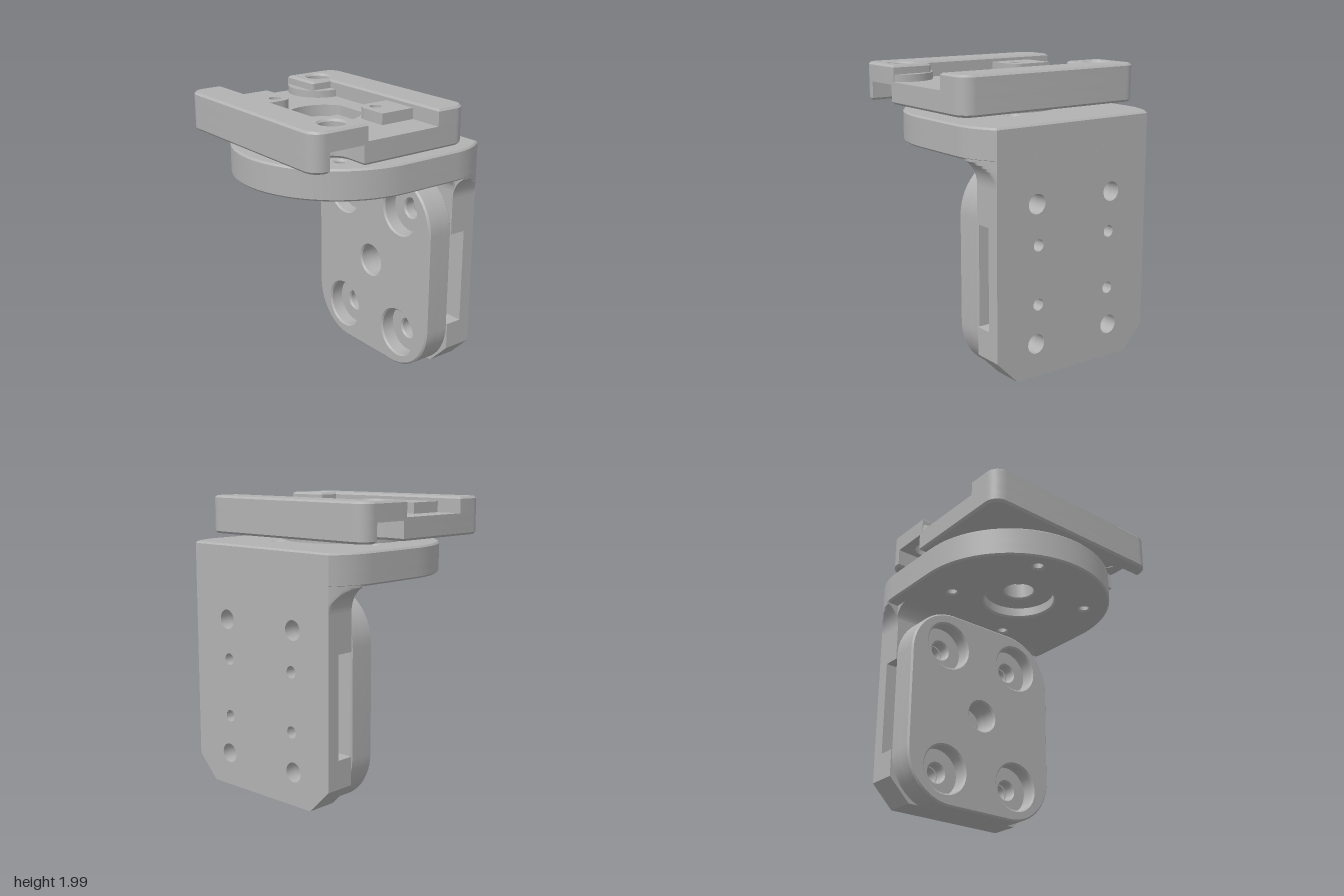
import * as THREE from 'three';
import { toCreasedNormals } from 'three/addons/utils/BufferGeometryUtils.js';

const metal = new THREE.MeshStandardMaterial({ color: 0xb2b2b2 });
metal.name = 'grey metal';

const AXIS = -0.105; // x of the turning axis of the clamp
const PI = Math.PI;
const V = (x, y) => new THREE.Vector2(x, y);

// points along an arc
function arc(cx, cy, r, a0, a1, n = 10) {
  return Array.from({ length: n + 1 }, (_, i) => {
    const a = a0 + (a1 - a0) * i / n;
    return V(cx + r * Math.cos(a), cy + r * Math.sin(a));
  });
}
const circle = (cx, cy, r, n = 40) => arc(cx, cy, r, 0, 2 * PI * (1 - 1 / n), n - 1);
// half turn about the clamp axis
const turn = pts => pts.map(p => V(2 * AXIS - p.x, -p.y));

function extrude(pts, holes, h, b) {
  const shape = new THREE.Shape(pts);
  shape.holes = holes.map(p => new THREE.Path(p));
  return new THREE.ExtrudeGeometry(shape, {
    depth: h - 2 * b, bevelEnabled: b > 0, bevelSize: b, bevelThickness: b,
    bevelOffset: -b, bevelSegments: 1,
  });
}

export function createModel() {
  const model = new THREE.Group();
  const group = name => {
    const g = new THREE.Group();
    g.name = name;
    model.add(g);
    return g;
  };
  const add = (parent, name, geo) => {
    const m = new THREE.Mesh(toCreasedNormals(geo, 0.45), metal);
    m.name = name;
    parent.add(m);
  };
  // plate lying flat: points are (x, z)
  const flat = (parent, name, pts, holes, y0, y1, b = 0) =>
    add(parent, name, extrude(pts, holes, y1 - y0, b).rotateX(PI / 2).translate(0, y1 - b, 0));
  // plate standing upright across x: points are (z, y)
  const upright = (parent, name, pts, holes, x0, x1, b = 0) =>
    add(parent, name, extrude(pts, holes, x1 - x0, b).rotateY(PI / 2).translate(x0 + b, 0, 0));

  // ---- clamp on top ----
  const clamp = group('clamp');
  const bolt = V(-0.47, 0.568);
  const half = [
    ...arc(0.41, 0.62, 0.1, 0, PI / 2), V(-0.34, 0.72),
    ...arc(bolt.x, bolt.y, 0.13, 0, -PI, 18), V(-0.6, 0.72),
    ...arc(-0.62, 0.62, 0.1, PI / 2, PI),
  ];
  const notched = [...half, ...turn(half)];
  const frontEdge = [...arc(0.41, 0.62, 0.1, 0, PI / 2), ...arc(-0.62, 0.62, 0.1, PI / 2, PI)];
  const whole = [...frontEdge, ...turn(frontEdge)];
  const bore = circle(AXIS, 0, 0.105);
  const flatAngle = Math.acos(0.22 / 0.245);
  const pocket = [
    ...arc(AXIS, 0, 0.245, flatAngle, PI - flatAngle, 16),
    ...arc(AXIS, 0, 0.245, PI + flatAngle, 2 * PI - flatAngle, 16),
  ];
  const boltHole = circle(bolt.x, bolt.y, 0.083);
  flat(clamp, 'clampBase', notched, [bore], 1.74, 1.81, 0.015);
  flat(clamp, 'clampPocketLayer', notched, [pocket], 1.795, 1.87);
  flat(clamp, 'clampFloor', whole, [pocket, boltHole, turn(boltHole)], 1.87, 1.89);

  // jaw with bolt block, and the raised ring beside the block
  const jaw = [
    V(-0.47, -0.72), ...arc(-0.62, -0.62, 0.1, -PI / 2, -PI),
    ...arc(-0.62, 0.62, 0.1, PI, PI / 2),
    V(-0.31, 0.72), ...arc(-0.335, 0.445, 0.025, 0, -PI / 2, 4), V(-0.47, 0.42),
  ];
  const ringEnd = Math.asin((0.72 - bolt.y) / 0.217);
  const ring = [
    ...arc(bolt.x, bolt.y, 0.217, -PI / 2, ringEnd, 20),
    V(-0.33, 0.72), V(-0.33, 0.44), V(-0.47, 0.44),
  ];
  // raised tab with one round corner and a blind hole
  const tab = z => [V(-0.47, z), V(-0.21, z), ...arc(-0.3, -0.295, 0.09, 0, PI / 2, 8), V(-0.47, -0.205)];
  const tabHole = circle(-0.303, -0.293, 0.04, 24);
  [p => p, turn].forEach((place, i) => {
    flat(clamp, 'jaw', place(jaw), [place(boltHole)], 1.875, 2, 0.014);
    flat(clamp, 'boltRing', place(ring), [], 1.89, 1.94);
    flat(clamp, 'tab', place(tab(i ? -0.475 : -0.53)), [place(tabHole)], 1.89, 1.965);
  });

  // ---- turntable hub ----
  flat(model, 'hub', circle(AXIS, 0, 0.415, 64), [bore], 1.69, 1.745);

  // ---- angle bracket ----
  const bracket = group('bracket');
  const R = 0.47;
  const cornerZ = x => 0.25 + Math.sqrt(R * R - Math.max(0, x - 0.43) ** 2);
  const endAngle = Math.asin(0.37 / R);
  const shelf = [
    ...arc(0, 0, 0.72, PI / 2, 1.5 * PI, 40),
    ...arc(0.43, -0.25, R, -PI / 2, -endAngle, 8),
    ...arc(0.43, 0.25, R, endAngle, PI / 2, 8),
  ];
  const screwHoles = [0, 1, 2, 3].map(k => {
    const a = (25 + 90 * k) * PI / 180;
    return circle(AXIS + 0.49 * Math.cos(a), 0.49 * Math.sin(a), 0.035, 20);
  });
  flat(bracket, 'shelfBottom', shelf, [circle(AXIS, 0, 0.25), ...screwHoles], 1.49, 1.59, 0.012);
  flat(bracket, 'shelfTop', shelf, [bore, ...screwHoles], 1.566, 1.7, 0.012);

  const mounts = [0.265, 1.195];
  const pair = (y, z, r) => [circle(-z, y, r, 28), circle(z, y, r, 28)];
  const mountHoles = mounts.flatMap(y => pair(y, 0.31, 0.066));
  const pinHoles = [0.53, 0.925].flatMap(y => pair(y, 0.295, 0.04));
  const wall = top => [
    V(-0.46, 0.04), V(0.46, 0.04), V(0.62, 0.2), V(0.62, top), V(-0.62, top), V(-0.62, 0.2),
  ];
  upright(bracket, 'wall', wall(1.51), [...mountHoles, ...pinHoles], 0.63, 0.72);
  upright(bracket, 'wallFoot', wall(0.39), pair(mounts[0], 0.31, 0.066), 0.51, 0.63);
  upright(bracket, 'wallHead', [V(-0.62, 1.07), V(0.62, 1.07), V(0.62, 1.51), V(-0.62, 1.51)],
    pair(mounts[1], 0.31, 0.066), 0.51, 0.63);

  // flared sides where the wall widens into the shelf
  const cols = 14, rows = 10, FR = 0.178;
  for (const side of [1, -1]) {
    const geo = new THREE.PlaneGeometry(1, 1, cols, rows);
    const pos = geo.attributes.position;
    for (let j = 0; j <= rows; j++) {
      for (let i = 0; i <= cols; i++) {
        const y = 1.5 - 0.17 * j / rows;
        const k = side > 0 ? i : cols - i;
        const x = 0.51 + 0.21 * Math.max(0, k - 1) / (cols - 1);
        const w = 0.62 + FR - Math.sqrt(FR * FR - (y - 1.33) ** 2);
        const z = k === 0 ? 0.6 : Math.min(w, cornerZ(x));
        pos.setXYZ(j * (cols + 1) + i, x, y, side * z);
      }
    }
    add(bracket, 'flare', geo.toNonIndexed());
  }

  // fillet in the inner corner
  const fillet = [...arc(0.41, 1.39, 0.1, PI / 2, 0, 8), V(0.53, 1.39), V(0.53, 1.5), V(0.41, 1.5)];
  add(bracket, 'cornerFillet', extrude(fillet, [], 1.26, 0).translate(0, 0, -0.63));

  // ---- rounded pad on the inner side of the wall ----
  const pad = group('pad');
  const padShape = [
    ...arc(0.26, 1.09, 0.36, 0, PI / 2, 14), ...arc(-0.26, 1.09, 0.36, PI / 2, PI, 14),
    ...arc(-0.26, 0.37, 0.36, PI, 1.5 * PI, 14), ...arc(0.26, 0.37, 0.36, 1.5 * PI, 2 * PI, 14),
  ];
  const padBore = circle(0, 0.73, 0.11);
  const counterbores = mounts.flatMap(y => pair(y, 0.31, 0.17));
  upright(pad, 'padFace', padShape, [padBore, ...counterbores], 0.31, 0.44, 0.012);
  upright(pad, 'padBack', padShape, [padBore, ...mountHoles], 0.416, 0.51, 0.012);

  // rest exactly on the ground
  model.position.y = -0.01;
  const root = new THREE.Group();
  root.name = 'clampBracket';
  root.add(model);
  return root;
}
